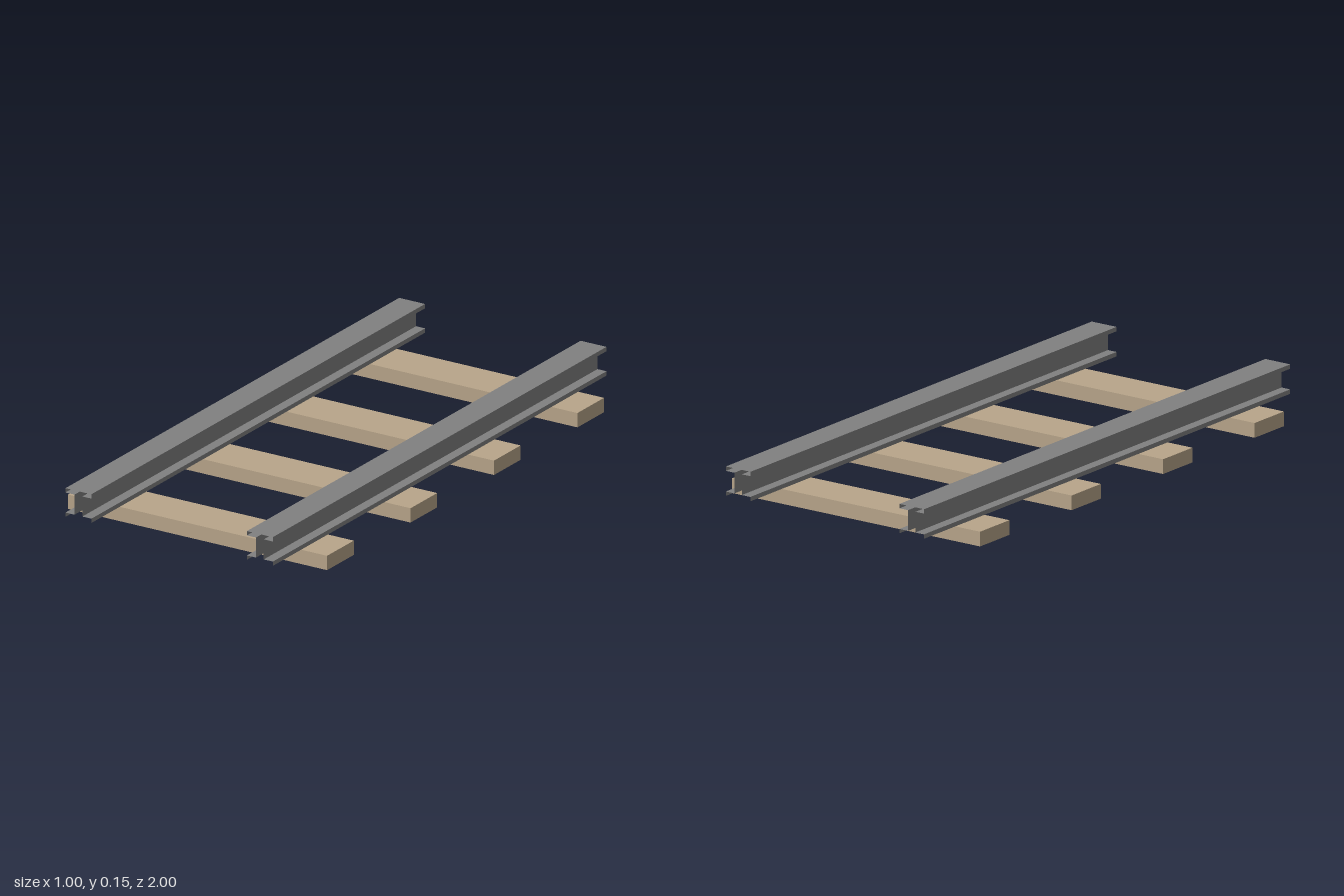
import * as THREE from 'three';

const railMaterial = new THREE.MeshStandardMaterial({ color: 0x808080, side: THREE.DoubleSide });
const woodMaterial = new THREE.MeshStandardMaterial({ color: 0xb8a58a, side: THREE.DoubleSide });

// Sweeps an open profile straight along z, with flat faces and no end caps
function sweepProfile(points, halfLength) {
  const positions = [];
  for (let i = 0; i < points.length - 1; i++) {
    const [ax, ay] = points[i];
    const [bx, by] = points[i + 1];
    const a = [ax, ay, halfLength], b = [bx, by, halfLength];
    const c = [bx, by, -halfLength], d = [ax, ay, -halfLength];
    positions.push(...a, ...b, ...c, ...a, ...c, ...d);
  }
  const geometry = new THREE.BufferGeometry();
  geometry.setAttribute('position', new THREE.Float32BufferAttribute(positions, 3));
  geometry.computeVertexNormals();
  return geometry;
}

// I-shaped rail, open underneath and at both ends
function railGeometry() {
  const left = [
    [-0.05, 0.05], [-0.05, 0.065], [-0.015, 0.065],
    [-0.015, 0.135], [-0.05, 0.135], [-0.05, 0.15],
  ];
  const right = left.map(([x, y]) => [-x, y]).reverse();
  return sweepProfile([...left, ...right], 1);
}

// Box without its bottom face
function sleeperGeometry() {
  const geometry = new THREE.BoxGeometry(1, 0.05, 0.16);
  const index = Array.from(geometry.index.array);
  index.splice(18, 6);
  geometry.setIndex(index);
  geometry.clearGroups();
  return geometry;
}

export function createModel() {
  const track = new THREE.Group();
  track.name = 'railwayTrack';

  // Wooden sleepers
  const sleeper = sleeperGeometry();
  for (let i = 0; i < 4; i++) {
    const mesh = new THREE.Mesh(sleeper, woodMaterial);
    mesh.name = `sleeper${i + 1}`;
    mesh.position.set(0, 0.025, -0.75 + i * 0.5);
    track.add(mesh);
  }

  // Pair of steel rails
  const rail = railGeometry();
  for (const side of [-1, 1]) {
    const mesh = new THREE.Mesh(rail, railMaterial);
    mesh.name = side > 0 ? 'leftRail' : 'rightRail';
    mesh.position.x = side * 0.35;
    track.add(mesh);
  }
  return track;
}
